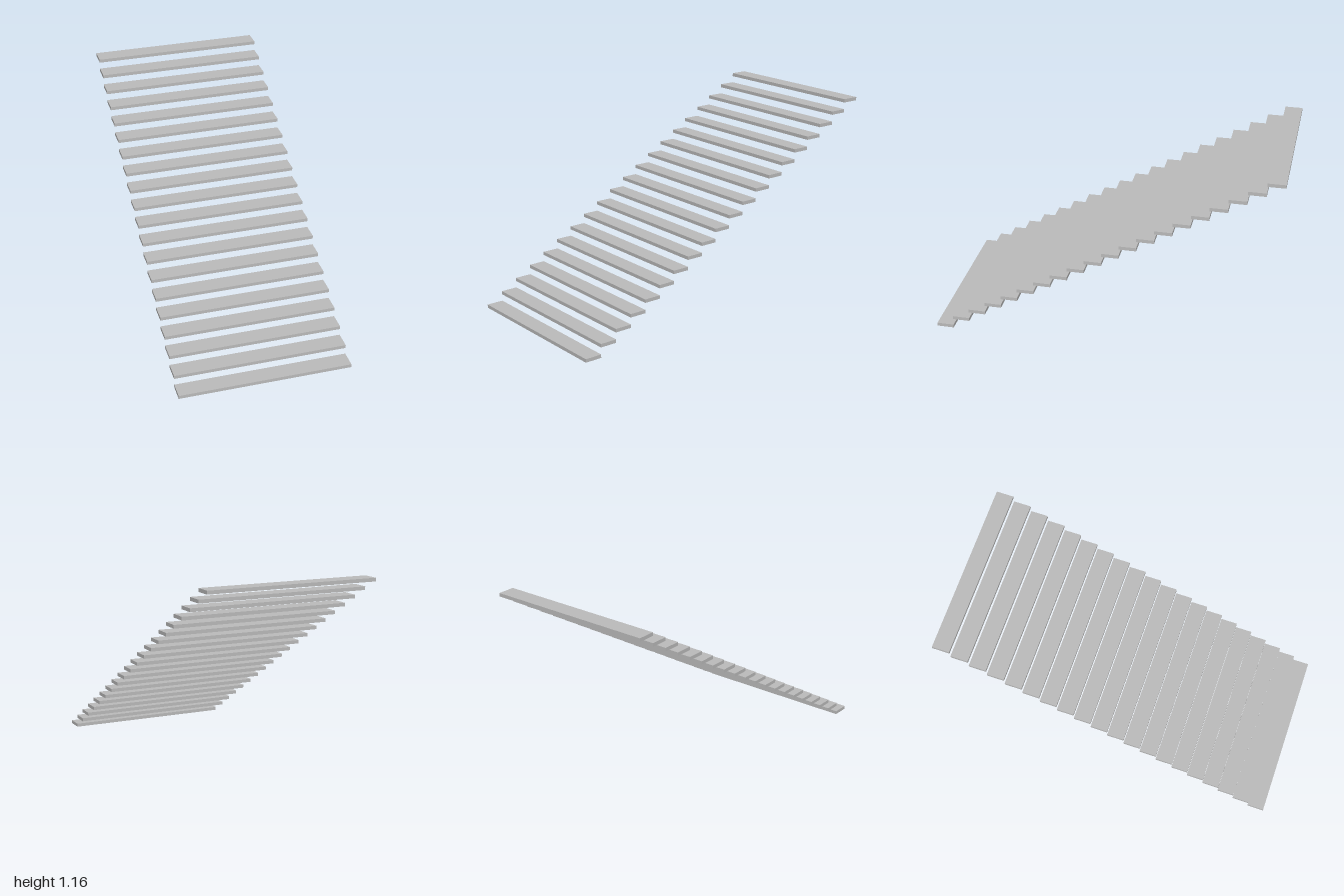
import * as THREE from 'three';

const STEPS = 20;
const WIDTH = 1;
const DEPTH = 0.1;
const THICKNESS = 0.02;
const RISE = 0.06;

export function createModel() {
  const stairs = new THREE.Group();
  stairs.name = 'floatingStairs';

  const grey = new THREE.MeshStandardMaterial({ color: 0xbcbcbc });
  grey.name = 'light grey';

  // Separate treads climbing from the front to the back, edge above edge
  const treadGeometry = new THREE.BoxGeometry(WIDTH, THICKNESS, DEPTH);
  for (let i = 0; i < STEPS; i++) {
    const tread = new THREE.Mesh(treadGeometry, grey);
    tread.name = `tread${i + 1}`;
    tread.position.set(0, THICKNESS / 2 + i * RISE, (STEPS / 2 - 0.5 - i) * DEPTH);
    stairs.add(tread);
  }
  return stairs;
}
